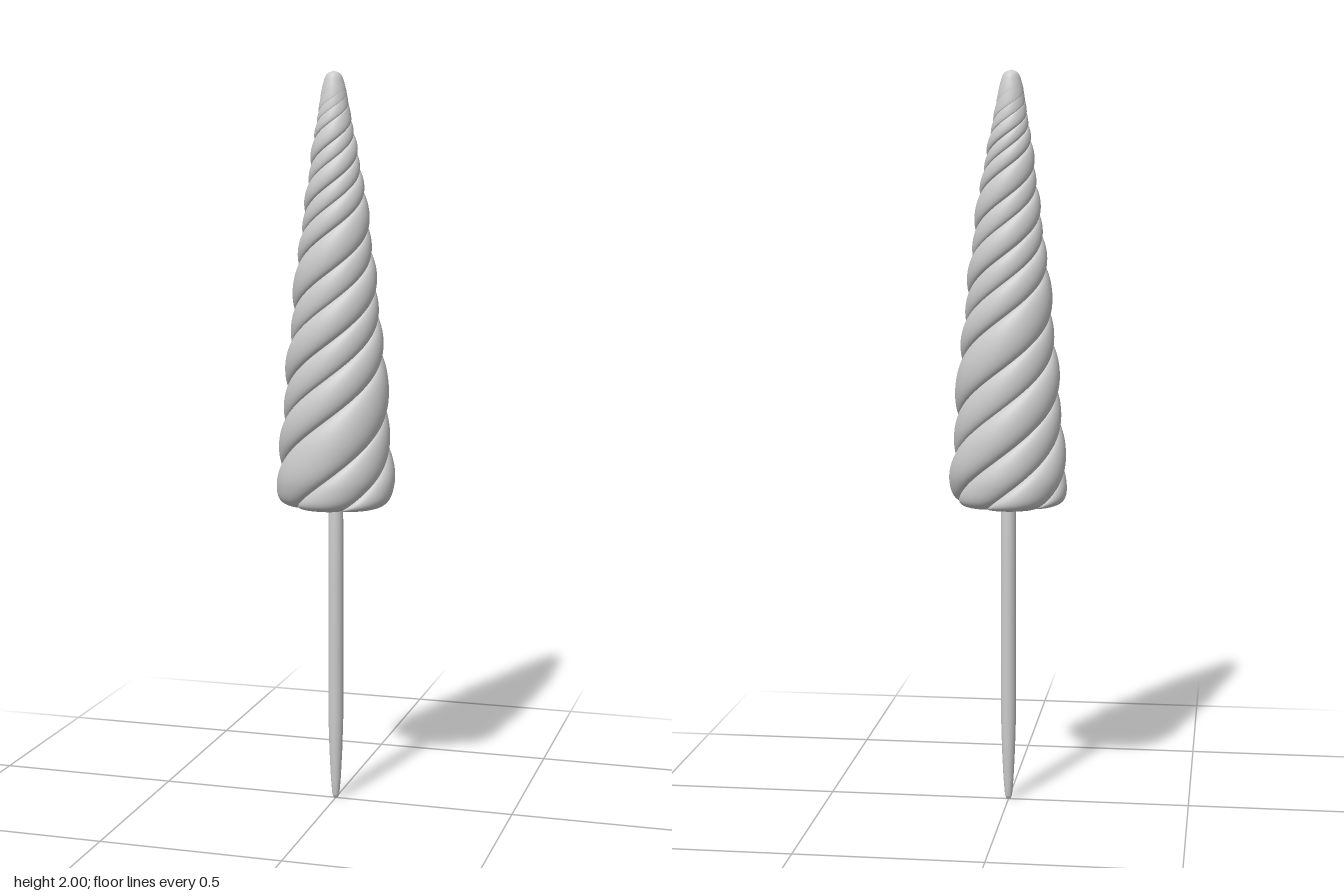
import * as THREE from 'three';

const material = () => new THREE.MeshStandardMaterial({ color: 0xcccccc });

// Cone of twisted strands: a lobed cross-section swept up a profile, turning as it climbs
function spiralGeometry() {
  const profile = new THREE.CatmullRomCurve3([
    [0, 0.85], [0.07, 0.845], [0.13, 0.836], [0.153, 0.85], [0.163, 0.9], [0.158, 1.0],
    [0.14, 1.2], [0.119, 1.4], [0.094, 1.6], [0.062, 1.8], [0.042, 1.9],
    [0.029, 1.965], [0.018, 1.992], [0, 2],
  ].map(([r, y]) => new THREE.Vector3(r, y, 0)), false, 'centripetal');
  const rings = profile.getSpacedPoints(300);

  // Strands: [angular width in degrees, size]
  const strands = [[92, 1], [66, 0.95], [74, 0.99], [60, 0.95], [68, 0.98]];
  const steps = 24;
  const section = [];
  let start = -136;
  for (const [width, size] of strands) {
    for (let k = 0; k < steps; k++) {
      const s = -Math.cos((k / steps) * Math.PI); // crowded towards the grooves
      const bulge = Math.sqrt(1 - s * s);
      section.push({
        angle: THREE.MathUtils.degToRad(start + width * (s + 1) / 2),
        dip: 1 - (0.82 + (size - 0.82) * bulge),
      });
    }
    start += width;
  }

  const positions = [], indices = [];
  const n = section.length;
  let twist = 0;
  rings.forEach((p, i) => {
    // Constant helix slope, so the twist tightens as the cone narrows
    if (i > 0) twist += Math.max(0, p.y - rings[i - 1].y) / (0.64 * Math.max(p.x, 0.035));
    const depth = 1 - THREE.MathUtils.smoothstep(p.y, 1.8, 1.97);
    const lean = -0.008 * THREE.MathUtils.smoothstep(p.y, 1.6, 2);
    for (const { angle, dip } of section) {
      const r = p.x * (1 - dip * depth);
      positions.push(lean + r * Math.sin(angle + twist), p.y, lean + r * Math.cos(angle + twist));
    }
    if (i === 0) return;
    for (let j = 0; j < n; j++) {
      const a = (i - 1) * n + j, b = (i - 1) * n + (j + 1) % n;
      indices.push(a, b, b + n, a, b + n, a + n);
    }
  });
  const g = new THREE.BufferGeometry();
  g.setAttribute('position', new THREE.Float32BufferAttribute(positions, 3));
  g.setIndex(indices);
  g.computeVertexNormals();
  return g;
}

export function createModel() {
  const group = new THREE.Group();

  const cone = new THREE.Mesh(spiralGeometry(), material());
  cone.name = 'spiralCone';
  group.add(cone);

  // Slim stick with a tapered, rounded lower end
  const stickProfile = [
    [0, 0], [0.006, 0.002], [0.01, 0.012], [0.014, 0.06], [0.018, 0.14],
    [0.021, 0.24], [0.021, 0.6], [0.02, 0.88], [0, 0.88],
  ].map(([r, y]) => new THREE.Vector2(r, y));
  const stick = new THREE.Mesh(new THREE.LatheGeometry(stickProfile, 32), material());
  stick.name = 'stick';
  group.add(stick);

  return group;
}
